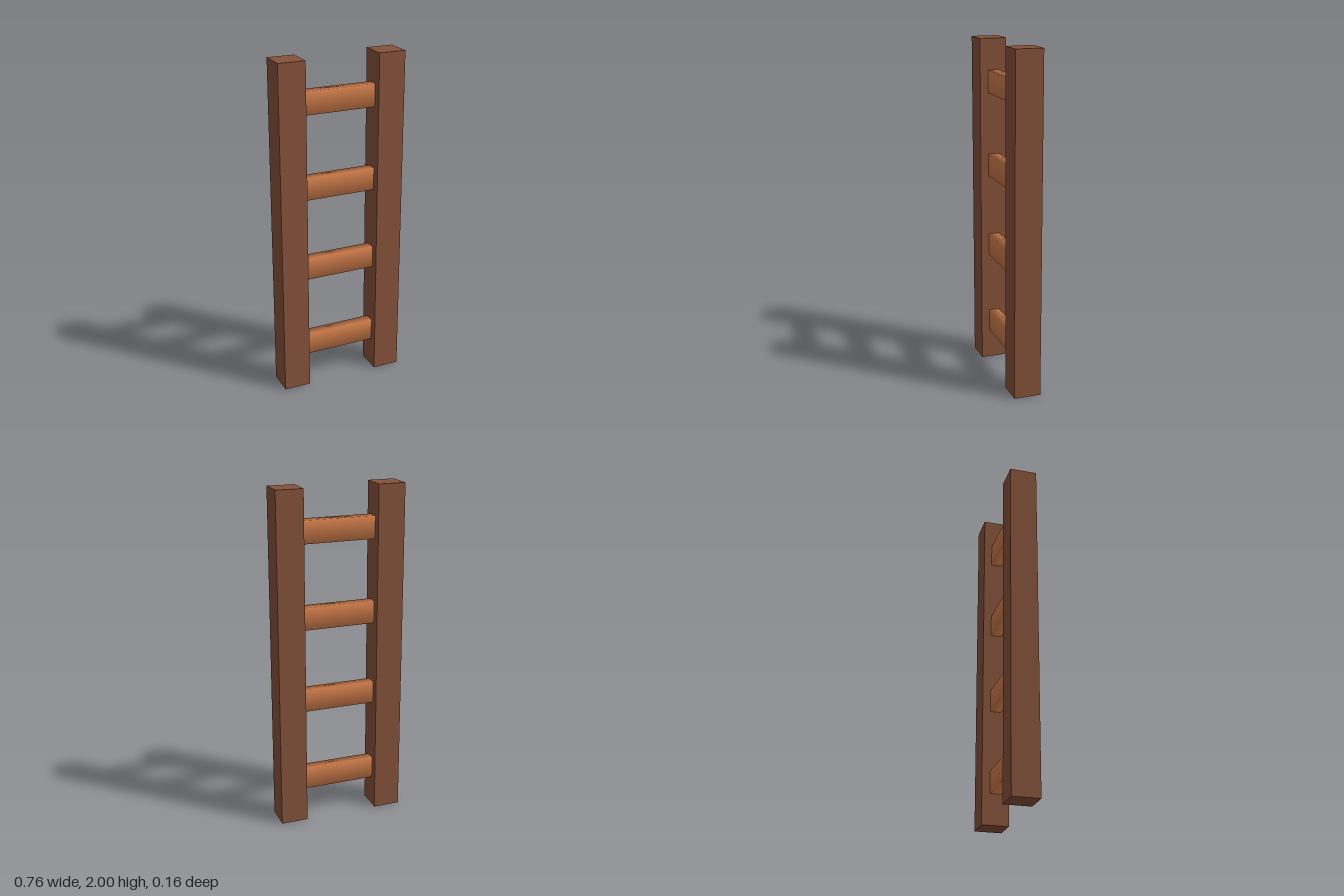
import * as THREE from 'three';

export function createModel() {
  const model = new THREE.Group();
  model.name = 'ladder';

  const darkWood = new THREE.MeshStandardMaterial({ color: 0x85523a });
  darkWood.name = 'dark wood';
  const lightWood = new THREE.MeshStandardMaterial({ color: 0xcb7a49 });
  lightWood.name = 'light wood';

  // Square upright posts
  const railGeometry = new THREE.BoxGeometry(0.16, 2, 0.16);
  for (const [name, side] of [['leftRail', 1], ['rightRail', -1]]) {
    const rail = new THREE.Mesh(railGeometry, darkWood);
    rail.name = name;
    rail.position.set(side * 0.3, 1, 0);
    model.add(rail);
  }

  // Rungs: smooth-shaded four-sided bars, flattened front to back
  const rungGeometry = new THREE.CylinderGeometry(Math.SQRT1_2, Math.SQRT1_2, 0.44, 4, 1, false, Math.PI / 4);
  rungGeometry.rotateZ(Math.PI / 2);
  rungGeometry.scale(1, 0.133, 0.064);
  for (let i = 0; i < 4; i++) {
    const rung = new THREE.Mesh(rungGeometry, lightWood);
    rung.name = `rung${i + 1}`;
    rung.position.y = 0.25 + i * 0.5;
    model.add(rung);
  }

  return model;
}
